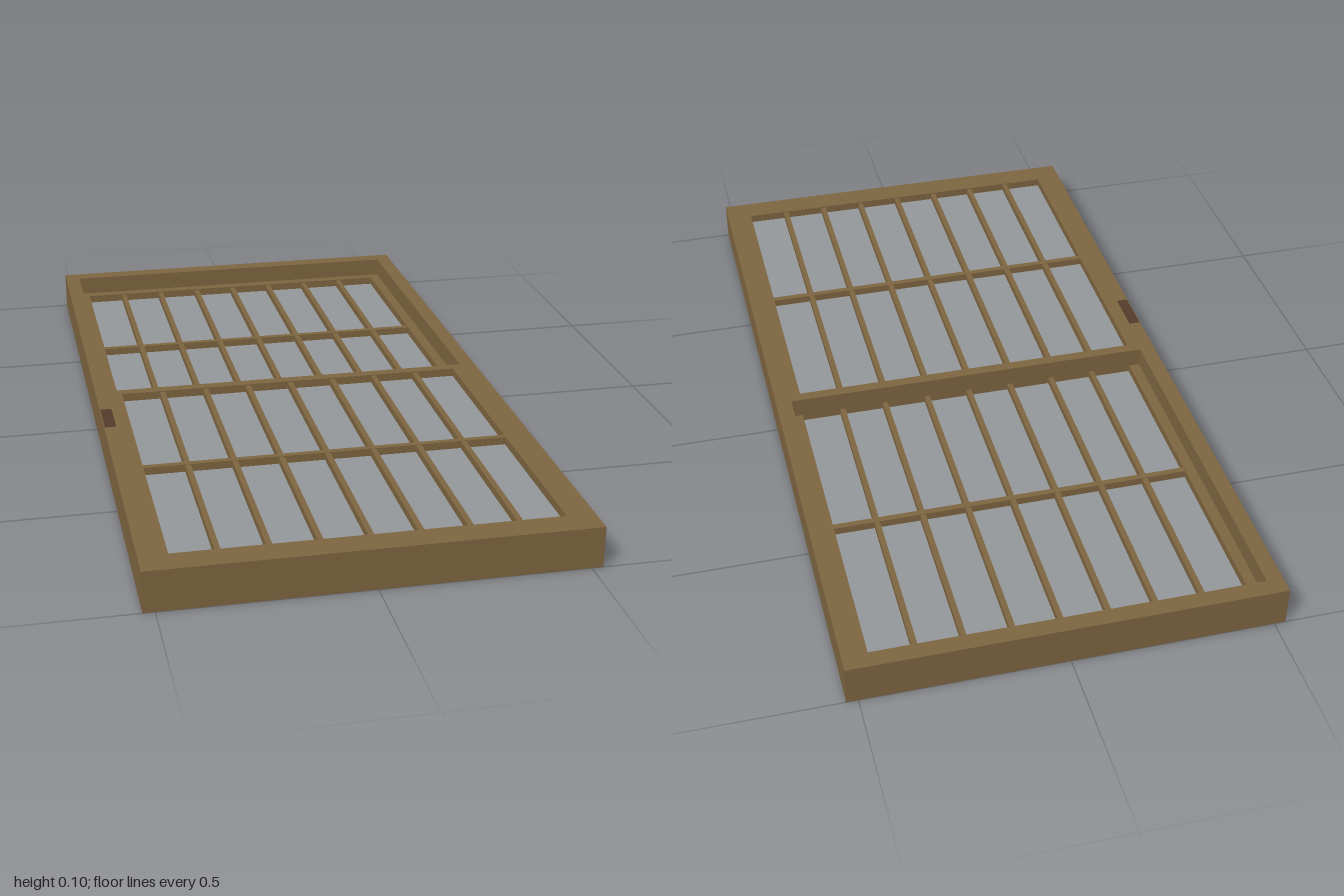
import * as THREE from 'three';

const wood = new THREE.MeshStandardMaterial({ color: 0x7d6540 });
const glass = new THREE.MeshStandardMaterial({ color: 0x94989b });
const dark = new THREE.MeshStandardMaterial({ color: 0x553c2a });

const HALF_W = 0.528, HALF_L = 1, HEIGHT = 0.102;
const OPEN_X = 0.487, OPEN_Z = 0.957, LAP = 0.016, STILE = 0.028;

// Box given by its limits on each axis
function block(name, [x0, x1], [y0, y1], [z0, z1], material = wood) {
  const mesh = new THREE.Mesh(new THREE.BoxGeometry(x1 - x0, y1 - y0, z1 - z0), material);
  mesh.position.set((x0 + x1) / 2, (y0 + y1) / 2, (z0 + z1) / 2);
  mesh.name = name;
  return mesh;
}

// Flat rectangular ring, extruded upward
function ring(name, outerX, outerZ, innerX, innerZ, height) {
  const rect = (path, x, z) => path.moveTo(-x, -z).lineTo(x, -z).lineTo(x, z).lineTo(-x, z).closePath();
  const shape = rect(new THREE.Shape(), outerX, outerZ);
  shape.holes.push(rect(new THREE.Path(), innerX, innerZ));
  const geometry = new THREE.ExtrudeGeometry(shape, { depth: height, bevelEnabled: false });
  geometry.rotateX(-Math.PI / 2);
  const mesh = new THREE.Mesh(geometry, wood);
  mesh.name = name;
  return mesh;
}

// One sash: border, one cross bar, seven long bars and a pane
function sash(name, z0, z1, y0, y1) {
  const group = new THREE.Group();
  group.name = name;
  const halfZ = (z1 - z0) / 2, h = y1 - y0;
  const inX = OPEN_X - STILE, inZ = halfZ - STILE;
  group.add(ring('sashBorder', OPEN_X, halfZ, inX, inZ, h));
  group.add(block('pane', [-inX, inX], [h / 2 - 0.004, h / 2 + 0.004], [-inZ, inZ], glass));
  group.add(block('crossBar', [-inX, inX], [0.002, h - 0.002], [-0.008, 0.008]));
  const pitch = (2 * inX + 0.014) / 8;
  for (let i = -3; i <= 3; i++) {
    const x = i * pitch;
    group.add(block('longBar', [x - 0.007, x + 0.007], [0.003, h - 0.003], [-inZ, inZ]));
  }
  group.position.set(0, y0, (z0 + z1) / 2);
  return group;
}

export function createModel() {
  const model = new THREE.Group();
  model.name = 'slidingWindow';
  model.add(ring('outerFrame', HALF_W, HALF_L, OPEN_X, OPEN_Z, HEIGHT));
  // The two sashes lie in separate layers and overlap at the middle
  model.add(sash('frontSash', -LAP, OPEN_Z, HEIGHT / 2, HEIGHT));
  model.add(sash('backSash', -OPEN_Z, LAP, 0, HEIGHT / 2));
  // Small catch set into the frame
  model.add(block('catch', [-0.526, -0.497], [HEIGHT - 0.01, HEIGHT + 0.001], [0.108, 0.222], dark));
  return model;
}
